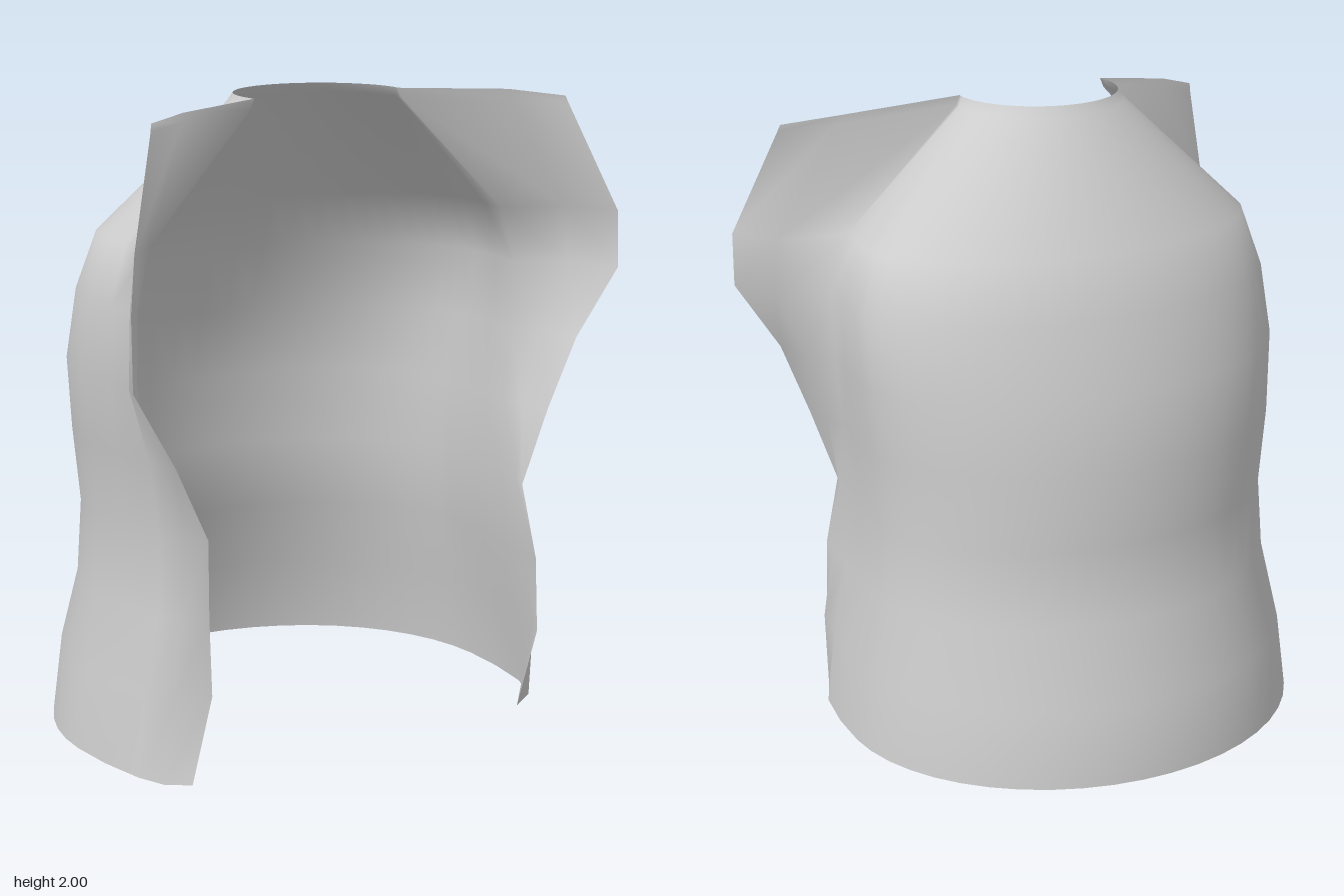
import * as THREE from 'three';

// One cross-section per height, open towards the front:
// [y, left x, right x, back z, left free edge x, z, right free edge x, z]
const SECTIONS = [
  [0.0, -0.84, 0.70, -0.61, -0.70, 0.525, 0.51, 0.56],
  [0.25, -0.81, 0.67, -0.575, -0.61, 0.495, 0.57, 0.58],
  [0.49, -0.765, 0.62, -0.475, -0.615, 0.49, 0.57, 0.565],
  [0.73, -0.755, 0.60, -0.44, -0.61, 0.48, 0.54, 0.525],
  [0.97, -0.785, 0.61, -0.44, -0.73, 0.50, 0.62, 0.545],
  [1.2, -0.82, 0.63, -0.38, -0.845, 0.46, 0.70, 0.58],
  [1.42, -0.81, 0.63, -0.305, -0.83, 0.43, 0.835, 0.615],
  [1.6, -0.765, 0.565, -0.22, -0.81, 0.42, 0.84, 0.60],
  [1.97, -0.40, 0.155, 0.07, -0.725, 0.375, 0.72, 0.49],
  [2.0, -0.385, 0.14, 0.09, -0.72, 0.37, 0.71, 0.485],
];
const ARC_STEPS = 24;
const CREASE_Z = 0.385;
const { lerp } = THREE.MathUtils;

// Points of one section: left free edge, around the back, right free edge
function sectionPoints([y, xLeft, xRight, zBack, xTipL, zTipL, xTipR, zTipR]) {
  const cx = (xLeft + xRight) / 2, rx = (xRight - xLeft) / 2;
  const zSide = 0.08 + 0.27 * (y / 2) ** 4;
  const drop = 0.05 * (y / 2) ** 8; // shoulder line slopes down towards the free edge

  // Side, crease, fold and free edge of one front panel
  const panel = (xSide, xTip, zTip) => {
    const xCrease = xSide - Math.sign(xSide) * 0.12 * (CREASE_Z - zSide);
    const bend = Math.abs(xTip) > Math.abs(xCrease) ? 0.7 : 0.35; // turned out or curled in
    return [
      [lerp(xSide, xCrease, 0.25), y, lerp(zSide, CREASE_Z, 0.5)],
      [xCrease, y, CREASE_Z],
      [lerp(xCrease, xTip, bend), y - drop / 2, lerp(CREASE_Z, zTip, 1 - bend)],
      [xTip, y - drop, zTip],
    ];
  };

  const arc = [];
  for (let i = 0; i <= ARC_STEPS; i++) {
    const a = Math.PI * i / ARC_STEPS;
    arc.push([cx - rx * Math.cos(a), y, zSide - (zSide - zBack) * Math.sin(a)]);
  }
  return [...panel(xLeft, xTipL, zTipL).reverse(), ...arc, ...panel(xRight, xTipR, zTipR)];
}

// Joins neighbouring sections into one smooth sheet facing outwards
function loft(rows) {
  const n = rows[0].length, index = [];
  for (let r = 0; r < rows.length - 1; r++) {
    for (let c = 0; c < n - 1; c++) {
      const a = r * n + c, b = a + 1, d = a + n, e = d + 1;
      index.push(a, d, b, b, d, e);
    }
  }
  const geometry = new THREE.BufferGeometry();
  geometry.setAttribute('position', new THREE.Float32BufferAttribute(rows.flat(2), 3));
  geometry.setIndex(index);
  geometry.computeVertexNormals();
  return geometry;
}

export function createModel() {
  const group = new THREE.Group();
  group.name = 'openVest';

  const cloth = new THREE.MeshStandardMaterial({ color: 0xcccccc, side: THREE.DoubleSide });
  cloth.name = 'light grey cloth';

  // Back, sides, neckline and both front panels are one sheet
  const vest = new THREE.Mesh(loft(SECTIONS.map(sectionPoints)), cloth);
  vest.name = 'vestShell';
  group.add(vest);
  return group;
}
